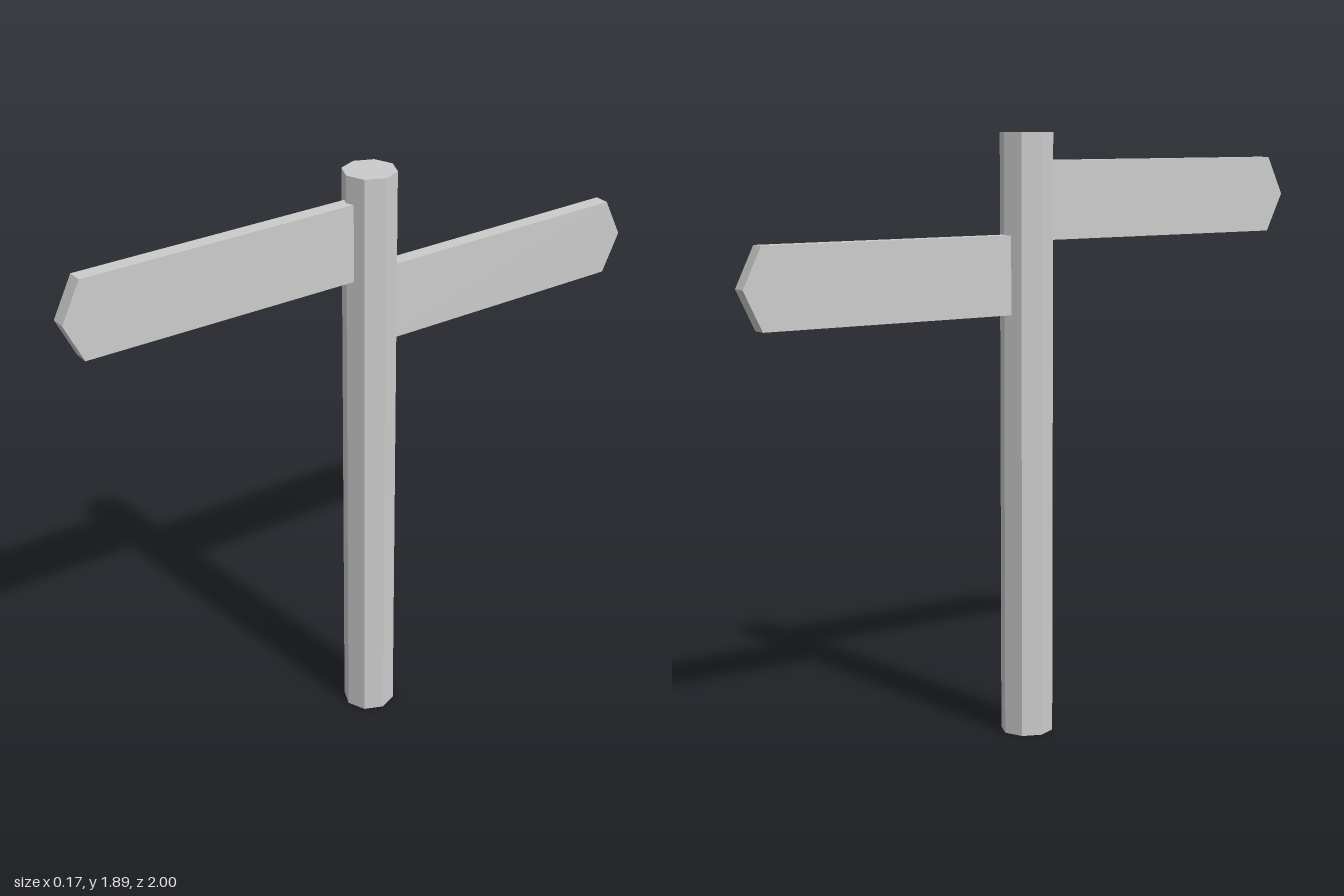
import * as THREE from 'three';

const POST_HEIGHT = 1.89;
const POST_RADIUS = 0.083;
const POST_Z = -0.023;
const SIGN_HEIGHT = 0.244;
const SIGN_THICKNESS = 0.048;
const TIP_LENGTH = 0.06;

export function createModel() {
  const material = new THREE.MeshStandardMaterial({ color: 0xcccccc, flatShading: true });
  const model = new THREE.Group();
  model.name = 'signpost';

  // Octagonal post with a corner facing the front
  const post = new THREE.Mesh(
    new THREE.CylinderGeometry(POST_RADIUS, POST_RADIUS, POST_HEIGHT, 8),
    material
  );
  post.name = 'post';
  post.position.set(0, POST_HEIGHT / 2, POST_Z);
  model.add(post);

  // Pointed board running from inside the post out to tipZ
  function addSign(name, y, tipZ) {
    const length = Math.abs(tipZ - POST_Z);
    const h = SIGN_HEIGHT / 2;
    const outline = new THREE.Shape([
      new THREE.Vector2(0, -h),
      new THREE.Vector2(length - TIP_LENGTH, -h),
      new THREE.Vector2(length, 0),
      new THREE.Vector2(length - TIP_LENGTH, h),
      new THREE.Vector2(0, h),
    ]);
    const geometry = new THREE.ExtrudeGeometry(outline, { depth: SIGN_THICKNESS, bevelEnabled: false });
    geometry.translate(0, 0, -SIGN_THICKNESS / 2);
    geometry.rotateY(tipZ > 0 ? -Math.PI / 2 : Math.PI / 2);
    const sign = new THREE.Mesh(geometry, material);
    sign.name = name;
    sign.position.set(0, y, POST_Z);
    model.add(sign);
  }
  addSign('frontSign', 1.683, 1);
  addSign('backSign', 1.458, -1);

  return model;
}
